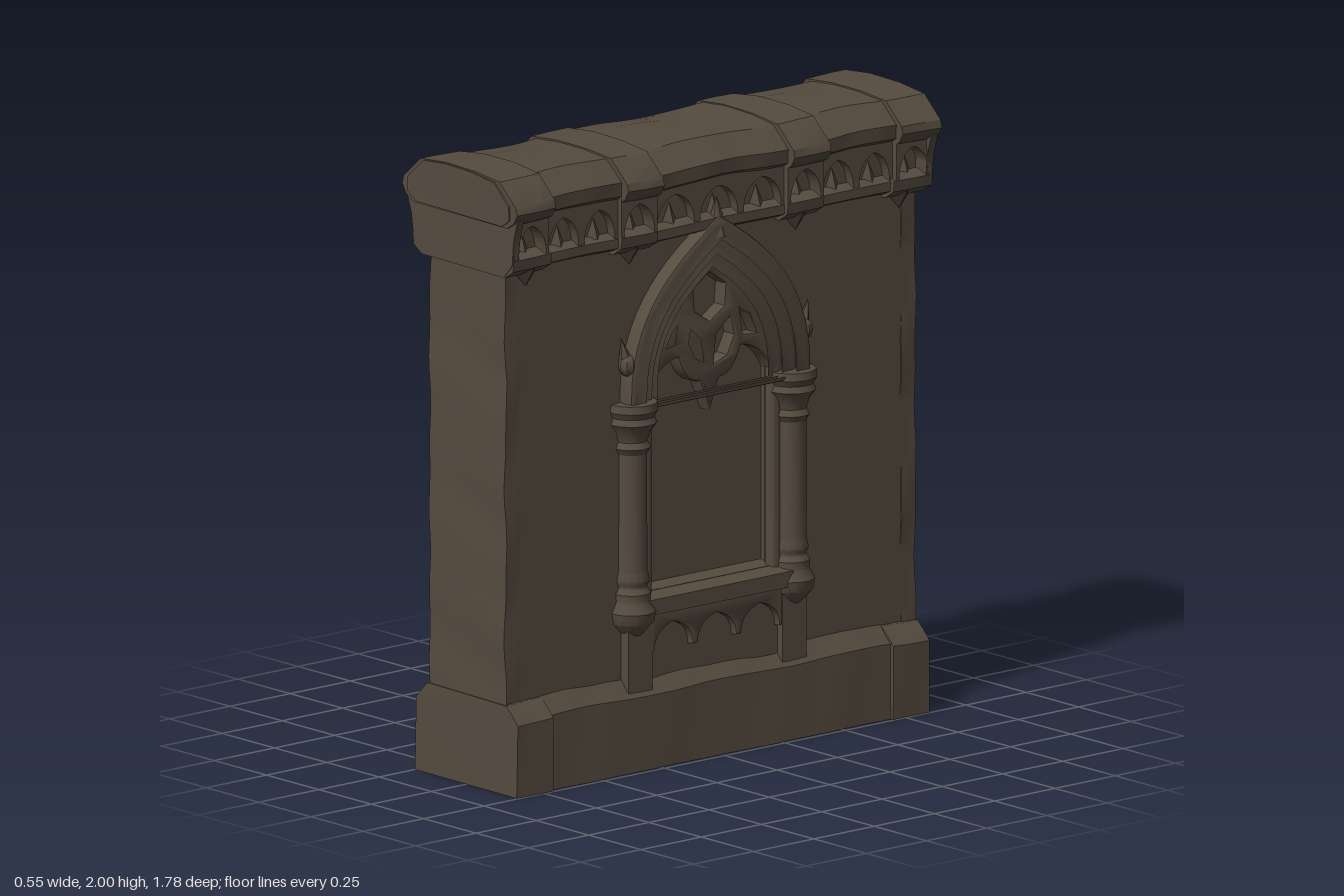
import * as THREE from 'three';
import { toCreasedNormals } from 'three/addons/utils/BufferGeometryUtils.js';

const stone = new THREE.MeshStandardMaterial({ color: 0x554b3f });
stone.name = 'weathered brown stone';

// Uneven, worn surface: shifts vertices by a smooth rule of their position
function wear(geo, amp) {
  const p = geo.attributes.position;
  for (let i = 0; i < p.count; i++) {
    const x = p.getX(i), y = p.getY(i), z = p.getZ(i);
    p.setXYZ(i,
      x + amp * Math.sin(13 * y + 9 * z) * Math.sin(17 * z + 2),
      y + (y > 0.01 ? amp * Math.sin(11 * z + 7 * x) : 0),
      z + amp * Math.sin(19 * y + 8 * x) * Math.cos(7 * y));
  }
  return geo;
}

function add(parent, name, geo, x = 0, y = 0, z = 0) {
  const m = new THREE.Mesh(toCreasedNormals(geo, 0.6), stone);
  m.name = name;
  m.position.set(x, y, z);
  parent.add(m);
  return m;
}

// Half profile [x, y] mirrored across the wall and run from z0 to z1
function run(parent, name, half, z0, z1, amp = 0.004) {
  const pts = [...half, ...half.map(([x, y]) => [-x, y]).reverse()];
  const s = new THREE.Shape(pts.map(p => new THREE.Vector2(...p)));
  const steps = Math.max(2, Math.round((z1 - z0) / 0.06));
  const g = new THREE.ExtrudeGeometry(s, { depth: z1 - z0, steps, bevelEnabled: false });
  add(parent, name, wear(g.translate(0, 0, z0), amp));
}

// Relief plate: from depth w0 to w1 with an optional softened edge
function relief(parent, name, shape, w0, w1, bevel = 0) {
  const g = new THREE.ExtrudeGeometry(shape, {
    depth: w1 - w0 - bevel, curveSegments: 14, bevelEnabled: bevel > 0,
    bevelSize: bevel, bevelThickness: bevel, bevelOffset: -bevel, bevelSegments: 2,
  });
  return add(parent, name, g, 0, 0, w0);
}

// Pointed arch outline standing on foot, springing at spring
function arch(path, hw, foot, spring, apex) {
  const h = apex - spring;
  path.moveTo(-hw, foot);
  path.lineTo(-hw, spring);
  path.bezierCurveTo(-hw, spring + h * 0.55, -hw * 0.45, apex - h * 0.2, 0, apex);
  path.bezierCurveTo(hw * 0.45, apex - h * 0.2, hw, spring + h * 0.55, hw, spring);
  path.lineTo(hw, foot);
  path.closePath();
  return path;
}

const poly = (Type, pts) => new Type(pts.map(p => new THREE.Vector2(...p)));

// Strip whose lower edge is cut into n pointed arches
function arcade(u0, u1, n, yb, yt, rim) {
  const s = new THREE.Shape();
  const step = (u1 - u0) / n, f = 0.012;
  s.moveTo(u0, yt);
  s.lineTo(u0, yb);
  for (let i = 0; i < n; i++) {
    const a = u0 + i * step, b = a + step, m = (a + b) / 2;
    s.lineTo(a + f, yb);
    s.quadraticCurveTo(a + f, yt - rim - 0.02, m, yt - rim);
    s.quadraticCurveTo(b - f, yt - rim - 0.02, b - f, yb);
    s.lineTo(b, yb);
  }
  s.lineTo(u1, yt);
  s.closePath();
  return s;
}

function lathe(parent, name, pts, u, w) {
  add(parent, name, new THREE.LatheGeometry(pts.map(p => new THREE.Vector2(...p)), 16), u, 0, w);
}

// One decorated face; local z points out of the wall
function makeFace(name) {
  const g = new THREE.Group();
  g.name = name;

  // Wall skin with the window opening
  const skin = poly(THREE.Shape, [[-0.83, 0.1], [0.83, 0.1], [0.83, 1.8], [-0.83, 1.8]]);
  skin.holes.push(arch(new THREE.Path(), 0.255, 0.56, 1.2, 1.62));
  relief(g, 'wallSkin', skin, 0.1, 0.18);

  // Nested arch mouldings
  [[0.375, 0.325, 1.74, 1.68, 0.235], [0.335, 0.285, 1.69, 1.63, 0.213], [0.295, 0.245, 1.645, 1.585, 0.192]]
    .forEach(([ro, ri, ao, ai, w]) => {
      const s = arch(new THREE.Shape(), ro, 1.16, 1.2, ao);
      s.holes.push(arch(new THREE.Path(), ri, 1.161, 1.2, ai));
      relief(g, 'archMoulding', s, 0.14, w, 0.015);
    });
  const tip = add(g, 'archFinial', new THREE.ConeGeometry(0.045, 0.13, 6), 0, 1.735, 0.21);
  tip.scale.z = 0.8;

  // Tracery with a cusped lower edge
  const t = new THREE.Shape();
  t.moveTo(-0.26, 1.18);
  t.bezierCurveTo(-0.26, 1.42, -0.12, 1.53, 0, 1.61);
  t.bezierCurveTo(0.12, 1.53, 0.26, 1.42, 0.26, 1.18);
  t.quadraticCurveTo(0.22, 1.28, 0.13, 1.29);
  t.quadraticCurveTo(0.1, 1.2, 0.04, 1.2);
  t.lineTo(0, 1.1);
  t.lineTo(-0.04, 1.2);
  t.quadraticCurveTo(-0.1, 1.2, -0.13, 1.29);
  t.quadraticCurveTo(-0.22, 1.28, -0.26, 1.18);
  t.holes.push(poly(THREE.Path, [[0, 1.39], [0.06, 1.43], [0.065, 1.5], [0, 1.545], [-0.065, 1.5], [-0.06, 1.43]]));
  for (const s of [-1, 1]) {
    t.holes.push(poly(THREE.Path, [[0.018 * s, 1.25], [0.07 * s, 1.27], [0.1 * s, 1.33], [0.085 * s, 1.39], [0.03 * s, 1.34]]));
    t.holes.push(poly(THREE.Path, [[0.14 * s, 1.325], [0.195 * s, 1.32], [0.165 * s, 1.385], [0.125 * s, 1.41]]));
  }
  relief(g, 'tracery', t, 0.12, 0.18, 0.01);

  // Columns, inner shafts and leaf crockets
  for (const s of [-1, 1]) {
    lathe(g, 'column', [[0.052, 0.54], [0.05, 0.8], [0.05, 1.1]], 0.33 * s, 0.183);
    lathe(g, 'capital', [[0.05, 1.02], [0.062, 1.04], [0.052, 1.06], [0.06, 1.09], [0.082, 1.12],
      [0.074, 1.14], [0.085, 1.16], [0.082, 1.185], [0, 1.19]], 0.33 * s, 0.183);
    lathe(g, 'columnFoot', [[0, 0.4], [0.03, 0.43], [0.072, 0.475], [0.078, 0.51], [0.06, 0.545],
      [0.062, 0.57], [0.05, 0.59], [0.058, 0.61], [0.052, 0.64]], 0.33 * s, 0.183);
    lathe(g, 'innerShaft', [[0.025, 0.55], [0.025, 1.2]], 0.268 * s, 0.17);
    const c = add(g, 'crocket', new THREE.ConeGeometry(0.03, 0.11, 5), 0.375 * s, 1.35, 0.2);
    c.rotation.z = -0.25 * s;
    const bud = add(g, 'crocketBud', new THREE.SphereGeometry(0.03, 8, 6), 0.365 * s, 1.31, 0.205);
    bud.scale.y = 1.2;
  }

  // Sloping sill, made from a rectangular bar with its upper front edge lowered
  const sill = new THREE.BoxGeometry(0.62, 0.08, 0.12);
  const sp = sill.attributes.position;
  for (let i = 0; i < sp.count; i++) if (sp.getY(i) > 0 && sp.getZ(i) > 0) sp.setY(i, 0.01);
  add(g, 'sill', sill, 0, 0.535, 0.175);

  // Arcaded apron below the sill
  relief(g, 'apronArcade', arcade(-0.27, 0.27, 3, 0.37, 0.5, 0.045), 0.16, 0.215, 0.008);
  add(g, 'apronPanel', new THREE.BoxGeometry(0.6, 0.22, 0.03), 0, 0.38, 0.175);
  for (const s of [-1, 1]) {
    add(g, 'apronPier', new THREE.BoxGeometry(0.1, 0.24, 0.06), 0.32 * s, 0.37, 0.185);
  }

  // Cornice frieze arches and hanging brackets
  const bays = [[-0.27, 0.27, 3, 0.222], [0.42, 0.72, 2, 0.222], [-0.72, -0.42, 2, 0.222],
    [0.27, 0.42, 1, 0.24], [-0.42, -0.27, 1, 0.24], [0.72, 0.865, 1, 0.24], [-0.865, -0.72, 1, 0.24]];
  for (const [a, b, n, w] of bays) {
    relief(g, 'friezeArches', arcade(a, b, n, 1.73, 1.87, 0.035), 0.17, w);
    const k = (b - a) / n;
    for (let i = 0; i < n; i++) {
      const leaf = add(g, 'friezeLeaf', new THREE.ConeGeometry(0.032, 0.07, 4), a + (i + 0.5) * k, 1.77, 0.19);
      leaf.scale.z = 0.7;
    }
  }
  for (const u of [-0.775, -0.345, 0.345, 0.775]) {
    const b = add(g, 'hangingBracket', new THREE.ConeGeometry(0.065, 0.07, 4), u, 1.665, 0.19);
    b.rotation.x = Math.PI;
    b.scale.z = 0.7;
  }
  return g;
}

export function createModel() {
  const model = new THREE.Group();
  model.name = 'gothicWall';

  // Wall core and end piers
  add(model, 'wallCore', new THREE.BoxGeometry(0.26, 1.85, 1.66), 0, 0.95, 0);
  for (const s of [-1, 1]) {
    const pier = new THREE.BoxGeometry(0.362, 1.8, 0.06, 6, 30, 2).translate(0, 0.92, 0.82 * s);
    add(model, 'endPier', wear(pier, 0.005));
  }

  // Plinth with heavier corner blocks
  run(model, 'plinth', [[0.235, 0], [0.228, 0.24], [0.2, 0.27], [0.18, 0.295]], -0.845, 0.845);
  for (const [a, b] of [[-0.855, -0.705], [0.705, 0.855]]) {
    run(model, 'plinthBlock', [[0.247, 0], [0.243, 0.235], [0.215, 0.265], [0.185, 0.29]], a, b);
  }

  // Cornice: ledge, recessed frieze and sloping cap
  run(model, 'corniceLedge', [[0.19, 1.685], [0.225, 1.7], [0.225, 1.73], [0.195, 1.745]], -0.865, 0.865, 0.002);
  run(model, 'frieze', [[0.188, 1.73], [0.188, 1.87]], -0.865, 0.865, 0.002);
  run(model, 'corniceCap', [[0.2, 1.845], [0.24, 1.87], [0.243, 1.915], [0.17, 1.982], [0.06, 1.994]], -0.885, 0.885, 0.005);

  // Projecting cornice blocks
  for (const [a, b] of [[-0.88, -0.72], [-0.42, -0.27], [0.27, 0.42], [0.72, 0.88]]) {
    run(model, 'corniceBlock', [[0.22, 1.84], [0.255, 1.86], [0.274, 1.89], [0.268, 1.915], [0.19, 1.985], [0.07, 1.997]], a, b, 0.003);
    const e = Math.abs(a + b) > 1 ? Math.sign(a) * 0.01 : 0;
    run(model, 'blockLedge', [[0.2, 1.675], [0.238, 1.7], [0.242, 1.735], [0.2, 1.75]], a - e, b - e, 0.002);
  }
  // Solid returns closing the cornice at both ends
  for (const [a, b] of [[-0.872, -0.845], [0.845, 0.872]]) {
    run(model, 'corniceReturn', [[0.2, 1.68], [0.236, 1.72], [0.242, 1.8], [0.265, 1.87]], a, b, 0.002);
  }

  // The two matching faces
  for (const [s, name] of [[1, 'leftFace'], [-1, 'rightFace']]) {
    const face = makeFace(name);
    face.rotation.y = s * Math.PI / 2;
    model.add(face);
  }
  return model;
}
